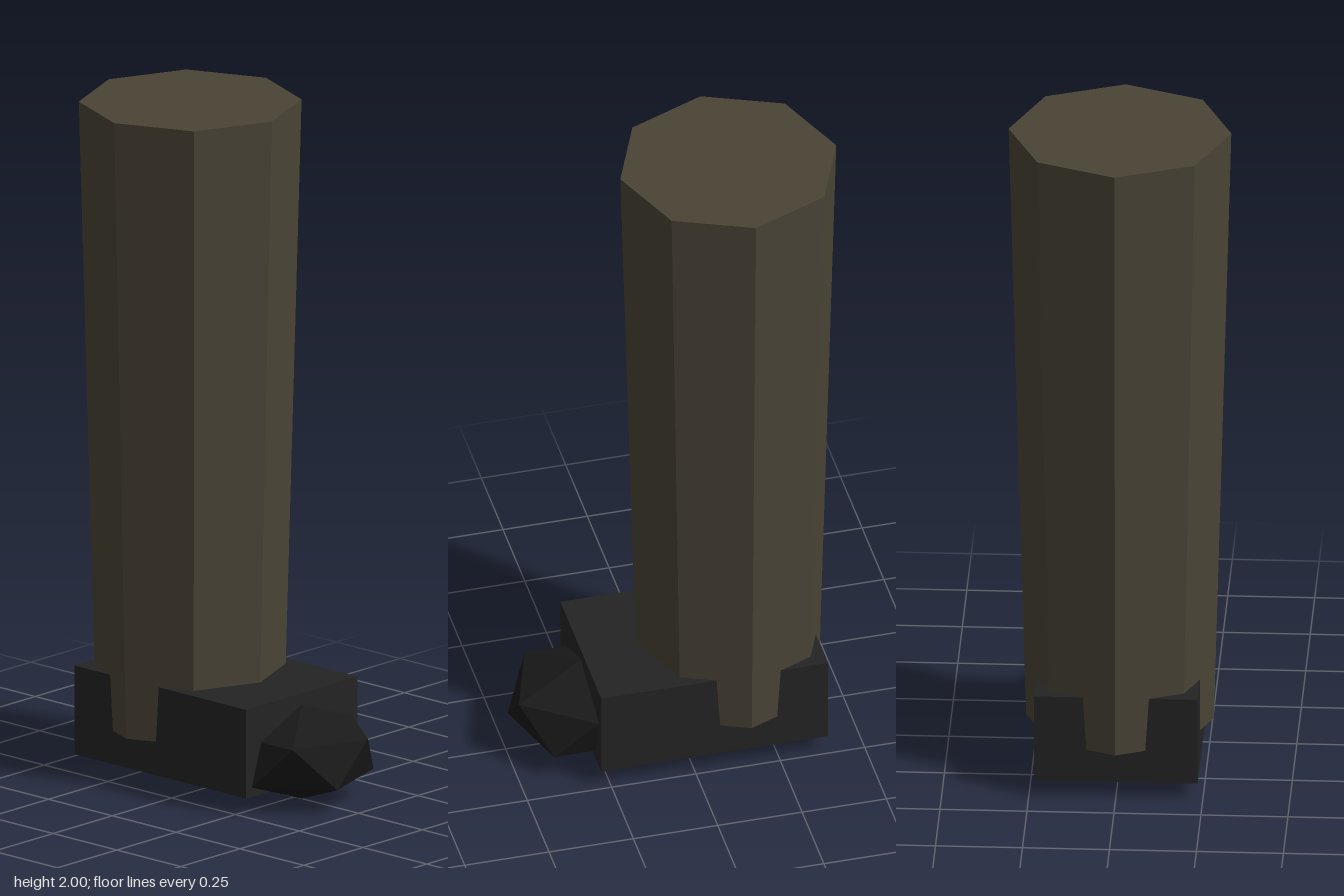
import * as THREE from 'three';

export function createModel() {
  const model = new THREE.Group();
  const material = (name, color) => {
    const m = new THREE.MeshStandardMaterial({ color, flatShading: true });
    m.name = name;
    return m;
  };
  const add = (name, geometry, mat, x, y, z) => {
    const mesh = new THREE.Mesh(geometry, mat);
    mesh.name = name;
    mesh.position.set(x, y, z);
    model.add(mesh);
  };

  const cloth = material('olive cloth', 0x4a4436);
  const leather = material('black leather', 0x242424);
  const toeLeather = material('dark toe leather', 0x1a1a1a);

  // Tapered eight-sided leg, sunk into the boot
  add('leg', new THREE.CylinderGeometry(0.32, 0.27, 1.85, 8), cloth, 0, 1.075, -0.16);

  // Boot block
  add('boot', new THREE.BoxGeometry(0.47, 0.265, 0.672), leather, 0, 0.1825, -0.059);

  // Faceted toe cap: an icosahedron stood on a corner and flattened
  const toe = new THREE.IcosahedronGeometry(1, 0);
  toe.rotateZ(-Math.atan(2 / (1 + Math.sqrt(5))));
  toe.scale(0.235, 0.141, 0.235);
  add('toeCap', toe, toeLeather, 0, 0.141, 0.277);

  return model;
}
